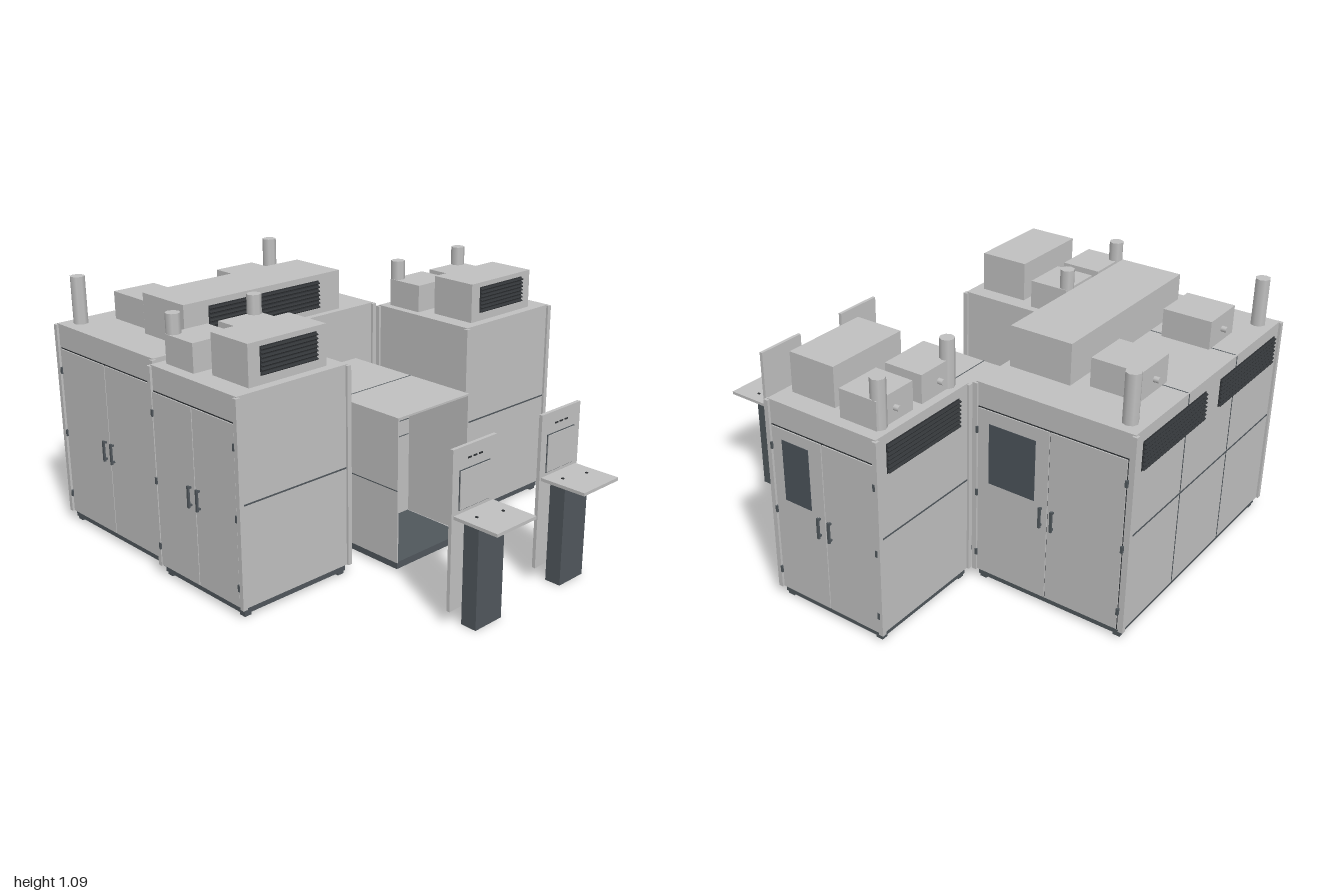
import * as THREE from 'three';

const material = (name, color) => {
  const m = new THREE.MeshStandardMaterial({ color });
  m.name = name;
  return m;
};

export function createModel() {
  const root = new THREE.Group();
  root.name = 'processLine';
  const body = material('lightGrey', 0xc0c0c0);
  const dark = material('slateGrey', 0x50575c);
  const black = material('charcoal', 0x303336);
  const glass = material('windowGrey', 0x4b535a);

  const group = (name, parent = root) => {
    const g = new THREE.Group();
    g.name = name;
    parent.add(g);
    return g;
  };
  // Box from its limits; each pair may come in either order
  const box = (parent, name, mat, xa, xb, ya, yb, za, zb) => {
    const mesh = new THREE.Mesh(
      new THREE.BoxGeometry(Math.abs(xb - xa), Math.abs(yb - ya), Math.abs(zb - za)), mat);
    mesh.position.set((xa + xb) / 2, (ya + yb) / 2, (za + zb) / 2);
    mesh.name = name;
    parent.add(mesh);
    return mesh;
  };
  const pipe = (parent, name, x, z, y0, y1, r) => {
    const mesh = new THREE.Mesh(new THREE.CylinderGeometry(r, r, y1 - y0, 8), body);
    mesh.position.set(x, (y0 + y1) / 2, z);
    mesh.name = name;
    parent.add(mesh);
  };
  // Louvred vent on a side wall; dir is the way it faces along x
  const vent = (parent, x, dir, y0, y1, z0, z1, count = 7) => {
    const g = group('vent', parent);
    box(g, 'ventBacking', black, x, x + dir * 0.003, y0, y1, z0, z1);
    for (let i = 0; i < count; i++) {
      const y = y0 + (i + 0.5) * (y1 - y0) / count;
      const slat = box(g, 'ventSlat', black, x, x + dir * 0.013, y - 0.002, y + 0.002, z0, z1);
      slat.rotation.z = -dir * 0.5;
    }
  };
  // Roof box with a short connector on its left-hand end
  const roofBox = (parent, x0, x1, y0, y1, z0, z1) => {
    box(parent, 'roofBox', body, x0, x1, y0, y1, z0, z1);
    const stub = new THREE.Mesh(new THREE.CylinderGeometry(0.012, 0.012, 0.025, 10), body);
    stub.rotation.z = Math.PI / 2;
    stub.position.set(x0 - 0.01, (y0 + y1) / 2, (z0 + z1) / 2);
    stub.name = 'roofConnector';
    parent.add(stub);
  };
  // Pair of doors on the wall at z, facing dir along z
  const doors = (parent, x0, x1, top, z, dir, windowSpan) => {
    const g = group('doors', parent);
    const mid = (x0 + x1) / 2;
    box(g, 'doorGap', black, x0, x1, 0.045, top, z, z + dir * 0.001);
    for (const [a, b] of [[x0 + 0.003, mid - 0.002], [mid + 0.002, x1 - 0.003]]) {
      box(g, 'doorLeaf', body, a, b, 0.048, top - 0.005, z, z + dir * 0.006);
    }
    for (const s of [-1, 1]) {
      const hx = mid + s * 0.026;
      box(g, 'handleGrip', dark, hx - 0.005, hx + 0.005, 0.37, 0.46, z + dir * 0.016, z + dir * 0.024);
      for (const y of [0.375, 0.447]) {
        box(g, 'handleMount', dark, hx - 0.004, hx + 0.004, y, y + 0.008, z, z + dir * 0.018);
      }
      const ex = s < 0 ? x0 : x1;
      for (const y of [0.13, 0.41, 0.69]) {
        box(g, 'hinge', dark, ex - 0.005, ex + 0.005, y - 0.014, y + 0.014, z, z + dir * 0.012);
      }
    }
    if (windowSpan) {
      box(g, 'doorWindow', glass, windowSpan[0], windowSpan[1], 0.47, 0.73, z + dir * 0.005, z + dir * 0.008);
    }
  };
  // Cabinet shell: body, corner posts, plinth, feet and side seams
  const cabinet = (name, x0, x1, z0, z1, h) => {
    const g = group(name);
    box(g, 'cabinetBody', body, x0 + 0.01, x1 - 0.01, 0.042, h, z0 + 0.01, z1 - 0.01);
    box(g, 'plinth', dark, x0 + 0.02, x1 - 0.02, 0.014, 0.042, z0 + 0.02, z1 - 0.02);
    for (const [x, sx] of [[x0, 1], [x1, -1]]) {
      for (const [z, sz] of [[z0, 1], [z1, -1]]) {
        box(g, 'cornerPost', body, x, x + sx * 0.02, 0.042, h - 0.004, z, z + sz * 0.02);
        box(g, 'foot', dark, x + sx * 0.025, x + sx * 0.055, 0, 0.016, z + sz * 0.025, z + sz * 0.055);
      }
      box(g, 'sideSeam', dark, x + sx * 0.008, x + sx * 0.012, 0.457, 0.463, z0 + 0.02, z1 - 0.02);
    }
    return g;
  };

  // Main cabinet
  const main = cabinet('mainCabinet', -1, -0.3, -0.335, 0.855, 0.89);
  doors(main, -0.97, -0.32, 0.79, 0.845, 1);
  doors(main, -0.97, -0.32, 0.79, -0.325, -1, [-0.585, -0.375]);
  for (const z of [0.06, 0.45]) {
    box(main, 'roofSeam', dark, -0.985, -0.315, 0.889, 0.891, z - 0.002, z + 0.002);
    box(main, 'wallSeam', dark, -0.992, -0.988, 0.045, 0.888, z - 0.0015, z + 0.0015);
  }
  vent(main, -0.99, -1, 0.72, 0.84, -0.27, 0.2);
  vent(main, -0.99, -1, 0.72, 0.84, 0.32, 0.8);
  box(main, 'roofFanHousing', body, -0.61, -0.34, 0.88, 1.06, -0.15, 0.67);
  vent(main, -0.34, 1, 0.915, 1.035, -0.03, 0.55);
  roofBox(main, -0.88, -0.67, 0.88, 1.008, -0.11, 0.09);
  roofBox(main, -0.88, -0.67, 0.88, 1.008, 0.43, 0.63);
  pipe(main, 'exhaustPipe', -0.926, -0.255, 0.88, 1.09, 0.031);
  pipe(main, 'exhaustPipe', -0.926, 0.77, 0.88, 1.09, 0.031);

  // Two side cabinets, laid out as mirror images
  for (const s of [1, -1]) {
    const [z0, z1] = s > 0 ? [0.33, 0.885] : [-0.885, -0.33];
    const g = cabinet(s > 0 ? 'frontCabinet' : 'backCabinet', -0.295, 0.24, z0, z1, 0.88);
    doors(g, -0.278, 0.217, 0.78, s * 0.875, s, s < 0 ? [0.035, 0.165] : null);
    vent(g, -0.285, -1, 0.72, 0.84, s * 0.4, s * 0.82);
    box(g, 'roofFanHousing', body, -0.02, 0.19, 0.87, 1.045, s * 0.41, s * 0.785);
    vent(g, 0.19, 1, 0.915, 1.025, s * 0.46, s * 0.73);
    roofBox(g, -0.25, -0.08, 0.87, 0.997, s * 0.375, s * 0.575);
    roofBox(g, -0.25, -0.08, 0.87, 0.997, s * 0.625, s * 0.825);
    for (const z of [0.405, 0.795]) pipe(g, 'exhaustPipe', -0.235, s * z, 0.87, 1.078, 0.03);
  }

  // Transfer tunnel between the side cabinets, open at its outer end
  const tunnel = group('transferTunnel');
  box(tunnel, 'tunnelBase', dark, -0.29, 0.357, 0.012, 0.042, -0.2, 0.195);
  box(tunnel, 'tunnelInnerBlock', body, -0.3, 0.035, 0.042, 0.66, -0.21, 0.2);
  box(tunnel, 'tunnelRoof', body, 0.035, 0.363, 0.652, 0.66, -0.21, 0.2);
  box(tunnel, 'roofJoint', dark, 0.033, 0.037, 0.659, 0.661, -0.21, 0.2);
  for (const [z, s] of [[0.2, 1], [-0.21, -1]]) {
    box(tunnel, 'tunnelWall', body, 0.035, 0.363, 0.042, 0.652, z, z - s * 0.006);
    box(tunnel, 'wallSeam', dark, 0.035, 0.363, 0.353, 0.357, z, z + s * 0.001);
  }
  for (const y of [0.4, 0.47, 0.485]) {
    box(tunnel, 'slotEdge', dark, 0.035, 0.037, y - 0.0015, y + 0.0015, -0.2, 0.19);
  }

  // Two operator consoles
  for (const z of [0.25, -0.25]) {
    const g = group('operatorConsole');
    box(g, 'pedestal', dark, 0.815, 0.885, 0, 0.432, z - 0.072, z + 0.072);
    box(g, 'backPanel', body, 0.781, 0.796, 0.06, 0.7, z - 0.118, z + 0.118);
    box(g, 'desk', body, 0.79, 1, 0.43, 0.443, z - 0.108, z + 0.108);
    box(g, 'screenRim', dark, 0.796, 0.799, 0.457, 0.613, z - 0.083, z + 0.083);
    box(g, 'screen', body, 0.796, 0.802, 0.46, 0.61, z - 0.08, z + 0.08);
    for (const dz of [-0.03, 0, 0.03]) {
      box(g, 'indicator', black, 0.796, 0.799, 0.648, 0.654, z + dz - 0.009, z + dz + 0.009);
    }
    for (const [x, dz] of [[0.89, -0.055], [0.86, 0.055]]) {
      box(g, 'deskButton', black, x - 0.005, x + 0.005, 0.443, 0.447, z + dz - 0.004, z + dz + 0.004);
    }
  }
  return root;
}
